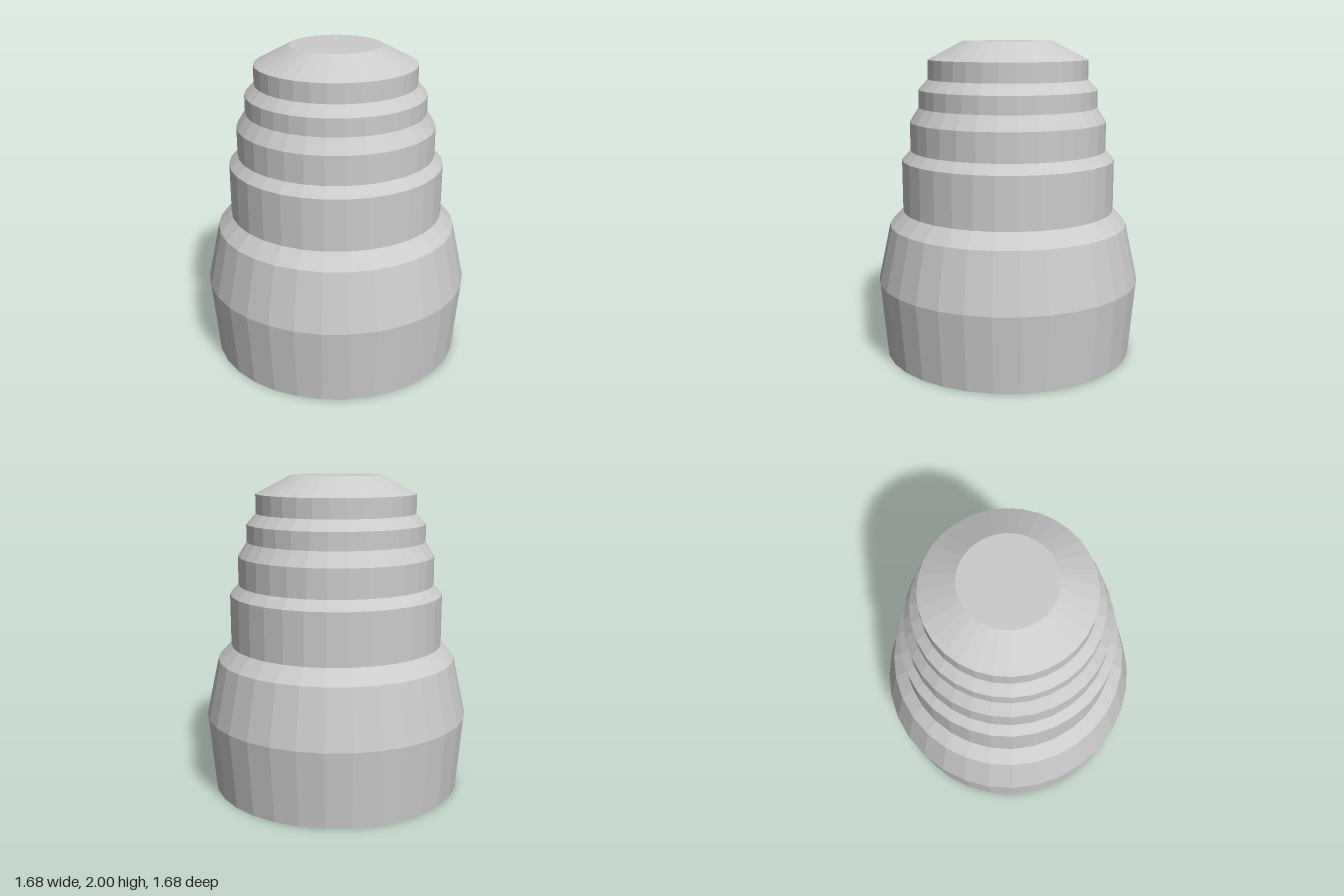
import * as THREE from 'three';

const SIDES = 32;

export function createModel() {
  const group = new THREE.Group();
  group.name = 'steppedCap';
  const material = new THREE.MeshStandardMaterial({ color: 0xcccccc, flatShading: true });

  // Turns a list of [radius, height] pairs into a faceted ring of surface
  function turned(name, profile) {
    const points = profile.map(([r, y]) => new THREE.Vector2(r, y));
    const mesh = new THREE.Mesh(new THREE.LatheGeometry(points, SIDES), material);
    mesh.name = name;
    group.add(mesh);
  }

  // Wide bulging skirt with a sloped shoulder
  turned('skirt', [[0.8, 0], [0.842, 0.48], [0.762, 0.845], [0.677, 0.935]]);

  // Straight collars, each narrowing through a bevel to the next
  turned('lowerCollar', [[0.677, 0.935], [0.677, 1.26], [0.622, 1.32]]);
  turned('middleCollar', [[0.622, 1.32], [0.622, 1.5], [0.565, 1.59]]);
  turned('upperCollar', [[0.565, 1.59], [0.565, 1.7], [0.505, 1.765]]);

  // Top collar with a conical, flat-topped lid
  turned('topCap', [[0.505, 1.765], [0.505, 1.885], [0.285, 2], [0, 2]]);

  // Conical hollow inside, facing inward, and the flat rim it stands on
  turned('hollowInside', [[0, 1.65], [0.695, 0]]);
  turned('bottomRim', [[0.695, 0], [0.8, 0]]);

  return group;
}
